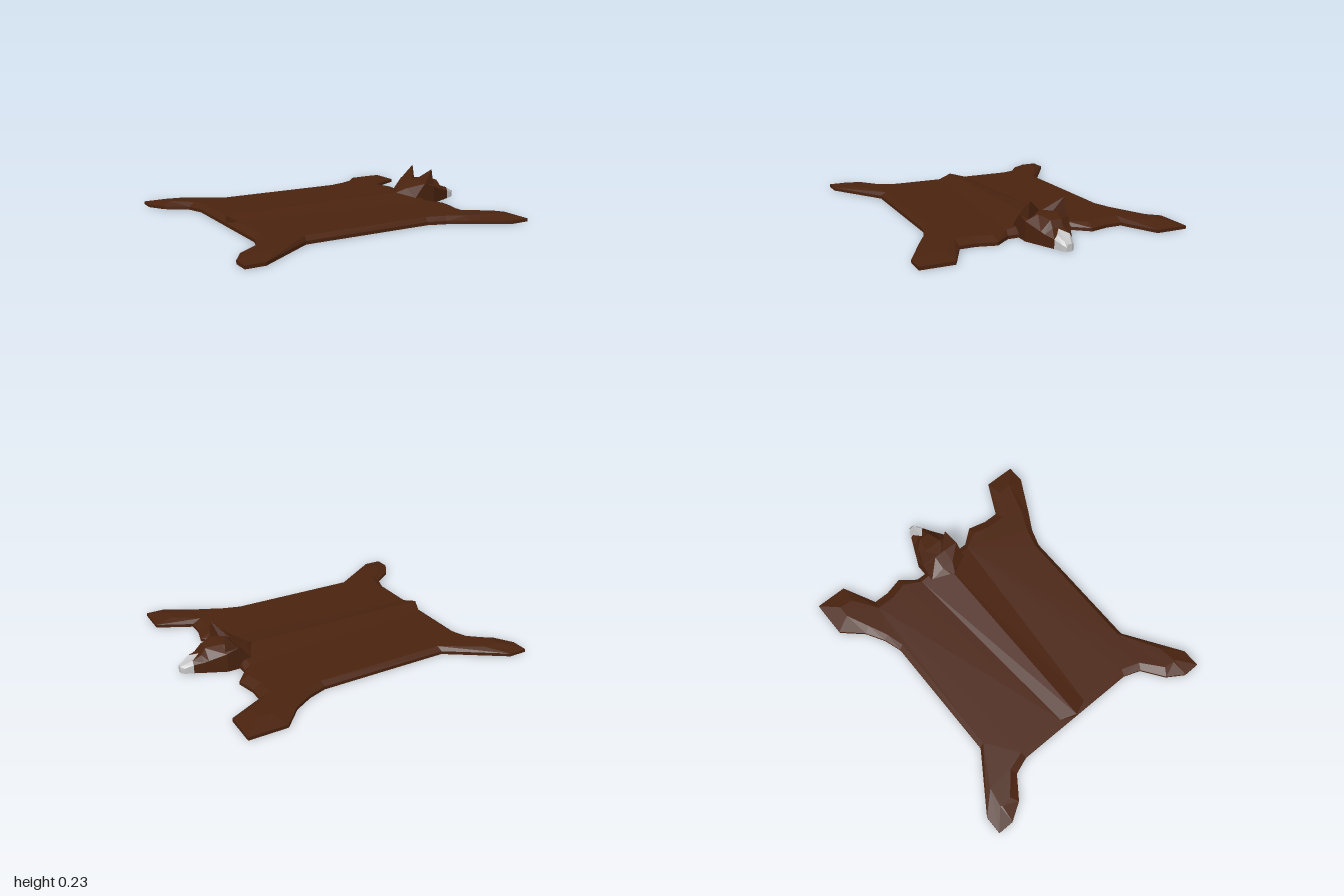
import * as THREE from 'three';
import { ConvexGeometry } from 'three/addons/geometries/ConvexGeometry.js';

const RIM = 0.02, FLAT = 0.045;

// Flat-faceted geometry from a list of triangles of Vector3
function facets(tris) {
  const geo = new THREE.BufferGeometry().setFromPoints(tris.flat());
  geo.computeVertexNormals();
  return geo;
}

// One half of the pelt; side is +1 or -1. Rows: outer x, z, then inner x, z.
function peltHalf(side) {
  const rows = [
    [-0.75, 0, -0.75, 0], [-0.75, 0.1, -0.71, 0.1], [-0.75, 0.42, -0.71, 0.43],
    [-0.79, 0.53, -0.75, 0.55], [-0.93, 0.63, -0.88, 0.66], [-1, 0.74, -0.89, 0.73],
    [-1, 0.845, -0.88, 0.74], [-0.88, 0.845, -0.76, 0.72], [-0.52, 0.605, -0.51, 0.575],
    [0.33, 0.605, 0.34, 0.575], [0.45, 0.645, 0.46, 0.61], [0.57, 0.715, 0.59, 0.67],
    [side > 0 ? 0.81 : 0.69, 0.845, side > 0 ? 0.81 : 0.74, 0.74], [0.93, 0.845, 0.82, 0.74],
    [0.93, 0.64, 0.81, 0.65], [0.71, 0.53, 0.65, 0.54], [0.71, 0.43, 0.65, 0.42],
    [0.74, 0.31, 0.68, 0.31], [0.66, 0.21, 0.62, 0.2], [0.66, 0, 0.62, 0],
  ];
  const last = rows.length - 1;
  const v = (x, y, z) => new THREE.Vector3(x, y, z * side);
  const floor = rows.map(r => v(r[0], 0, r[1]));
  const rim = rows.map(r => v(r[0], RIM, r[1]));
  const top = rows.map((r, i) => v(r[2], i === 0 ? 0.07 : i === last ? 0.078 : FLAT, r[3]));
  const tris = [];
  const quad = (a, b, c, d) => {
    for (const t of [[a, b, c], [a, c, d]]) tris.push(side > 0 ? t : t.reverse());
  };
  const cap = (pts, up) => {
    const flat = pts.map(p => new THREE.Vector2(p.x, p.z));
    for (const ids of THREE.ShapeUtils.triangulateShape(flat, [])) {
      const [a, b, c] = ids.map(i => pts[i]);
      const ny = b.clone().sub(a).cross(c.clone().sub(a)).y;
      tris.push(ny * up > 0 ? [a, b, c] : [a, c, b]);
    }
  };
  for (let i = 0; i < last; i++) {
    quad(floor[i], floor[i + 1], rim[i + 1], rim[i]);
    quad(rim[i], rim[i + 1], top[i + 1], top[i]);
  }
  cap(top.slice(1, last), 1);
  cap([top[0], top[1], top[last - 1], top[last]], 1); // slope up to the spine
  cap(floor, -1);
  return facets(tris);
}

// Section ring: [x, half width, shoulder y, top half width, top y, x of top centre]
function ring([x, w, ys, wt, yt, xc = x, yc = yt]) {
  return [[x, 0, w], [x, ys, w], [x, yt, wt], [xc, yc, 0], [x, yt, -wt], [x, ys, -w], [x, 0, -w]]
    .map(p => new THREE.Vector3(...p));
}

function loft(sections) {
  const rings = sections.map(ring), tris = [];
  for (let s = 0; s < rings.length - 1; s++) {
    const p = rings[s], q = rings[s + 1];
    p.forEach((_, i) => {
      const j = (i + 1) % p.length;
      tris.push([p[i], q[i], p[j]], [p[j], q[i], q[j]]);
    });
  }
  const end = rings[rings.length - 1];
  for (let i = 1; i < end.length - 1; i++) tris.push([end[0], end[i + 1], end[i]]);
  return facets(tris);
}

export function createModel() {
  const model = new THREE.Group();
  model.name = 'animalSkinRug';
  const fur = new THREE.MeshStandardMaterial({ color: 0x4a230f, flatShading: true });
  fur.name = 'brown fur';
  const pale = new THREE.MeshStandardMaterial({ color: 0xc4c4c4, flatShading: true });
  pale.name = 'pale grey nose';
  const add = (name, geo, mat) => {
    const mesh = new THREE.Mesh(geo, mat);
    mesh.name = name;
    model.add(mesh);
  };

  add('leftPelt', peltHalf(-1), fur);
  add('rightPelt', peltHalf(1), fur);

  // Head, from the neck to the muzzle
  const muzzle = [0.925, 0.056, 0.055, 0.04, 0.078, 0.87, 0.095];
  add('head', loft([
    [0.5, 0.005, 0.06, 0.002, 0.07],
    [0.58, 0.14, 0.05, 0.04, 0.105],
    [0.66, 0.14, 0.145, 0.04, 0.15],
    [0.74, 0.14, 0.12, 0.06, 0.152],
    [0.84, 0.095, 0.08, 0.035, 0.14],
    [0.865, 0.084, 0.07, 0.035, 0.098],
    muzzle,
  ]), fur);
  add('nose', loft([muzzle, [0.975, 0.036, 0.035, 0.02, 0.052], [0.997, 0.018, 0.025, 0.012, 0.042]]), pale);

  // Dark wedge on the nose tip
  add('noseTip', facets([[
    new THREE.Vector3(1, 0.04, 0.018), new THREE.Vector3(1, 0.008, 0), new THREE.Vector3(1, 0.04, -0.018),
  ].reverse()]), fur);

  // Pointed ears
  for (const s of [1, -1]) {
    add(s < 0 ? 'leftEar' : 'rightEar', new ConvexGeometry([
      [0.66, 0.14, 0.14], [0.66, 0.145, 0.005], [0.745, 0.13, 0.125], [0.71, 0.145, 0.05], [0.737, 0.235, 0.11],
    ].map(([x, y, z]) => new THREE.Vector3(x, y, z * s))), fur);
  }
  return model;
}
